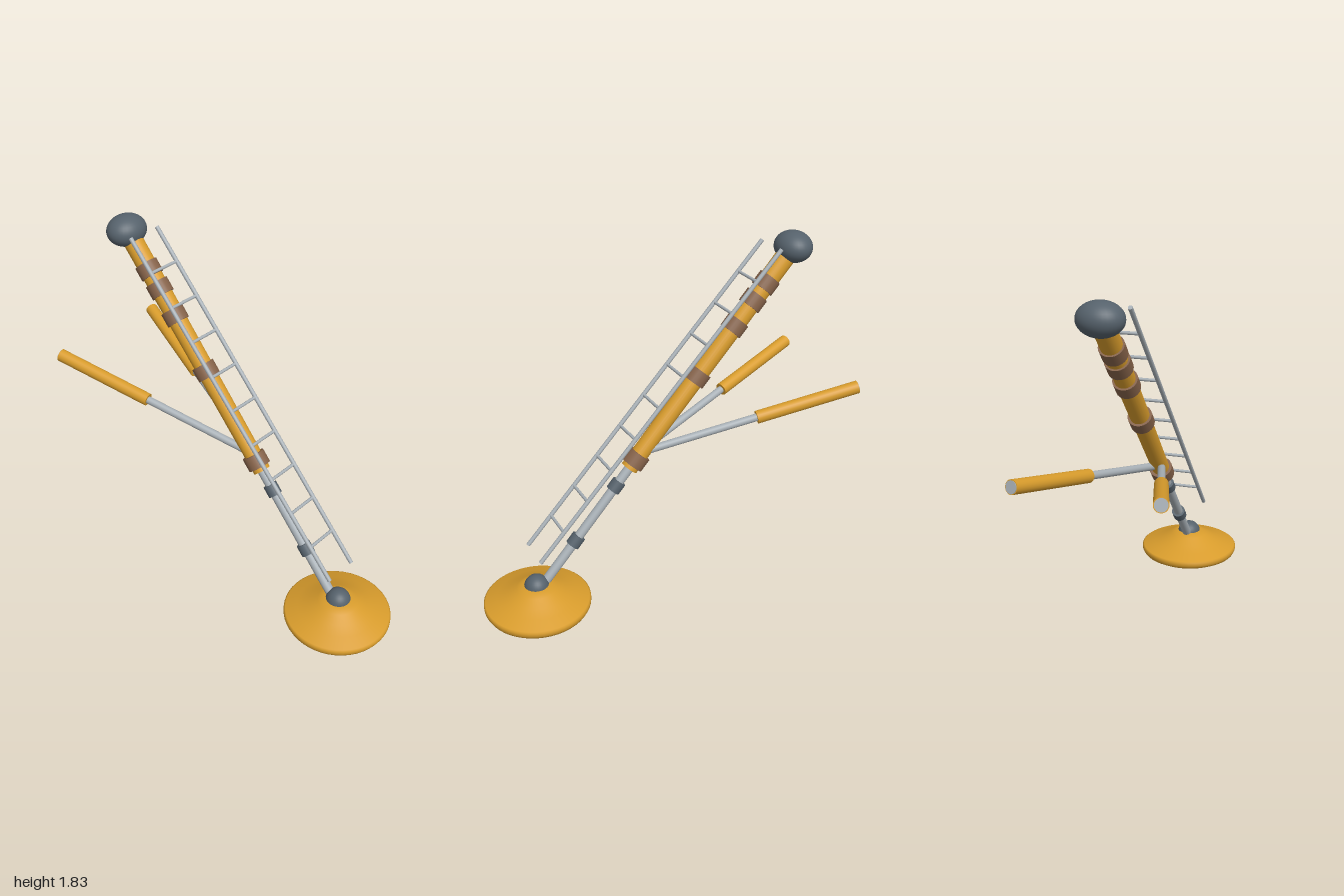
import * as THREE from 'three';

const mat = (name, color) => {
  const m = new THREE.MeshStandardMaterial({ color });
  m.name = name;
  return m;
};

export function createModel() {
  const root = new THREE.Group();
  root.name = 'landingLeg';
  const gold = mat('gold foil', 0xd89c2c);
  const silver = mat('silver metal', 0xa9b1b7);
  const slate = mat('slate joint', 0x56626c);
  const brown = mat('brown band', 0x86634a);
  const V = (x, y, z) => new THREE.Vector3(x, y, z);

  const add = (name, geometry, material, parent = root) => {
    const m = new THREE.Mesh(geometry, material);
    m.name = name;
    parent.add(m);
    return m;
  };

  // Cylinder running between two points
  const rod = (name, a, b, r, material, parent = root, rEnd = r, sides = 24) => {
    const d = b.clone().sub(a);
    const m = add(name, new THREE.CylinderGeometry(rEnd, r, d.length(), sides), material, parent);
    m.position.copy(a).add(b).multiplyScalar(0.5);
    m.quaternion.setFromUnitVectors(V(0, 1, 0), d.normalize());
    return m;
  };

  // Main leg axis, addressed by its z position
  const dir = V(0, 1.39, -1.25).normalize();
  const onAxis = (z) => V(0, 0.36 + (0.49 - z) * 1.112, z);
  const band = (name, z, r, len, material) => {
    const c = onAxis(z);
    const h = dir.clone().multiplyScalar(len / 2);
    rod(name, c.clone().sub(h), c.clone().add(h), r, material);
  };

  // Foot pad: shallow dish below, flared cone above
  const pad = add('footPad', new THREE.LatheGeometry([
    [0, 0], [0.2, 0], [0.24, 0.012], [0.272, 0.03], [0.28, 0.046], [0.28, 0.064],
    [0.272, 0.07], [0.21, 0.092], [0.15, 0.118], [0.105, 0.143], [0.07, 0.159], [0, 0.162],
  ].map(([x, y]) => new THREE.Vector2(x, y)), 48), gold);
  pad.position.z = 0.72;

  const ankle = add('ankleJoint', new THREE.SphereGeometry(0.066, 28, 18), slate);
  ankle.position.set(0, 0.145, 0.72);

  // Telescoping leg
  rod('innerPiston', onAxis(0.7), onAxis(0.12), 0.025, silver);
  rod('outerTube', onAxis(0.175), onAxis(-0.74), 0.045, gold, root, 0.052);
  [0.49, 0.252].forEach((z) => band('pistonCollar', z, 0.037, 0.06, slate));
  [0.136, -0.217, -0.43, -0.535, -0.607].forEach((z) => band('tubeBand', z, 0.06, 0.072, brown));

  const hip = add('hipJoint', new THREE.SphereGeometry(1, 32, 20), slate);
  hip.scale.set(0.109, 0.08, 0.093);
  hip.position.set(0, 1.748, -0.76);

  // Mirrored side struts: thin rod with a thick sleeve and a pale end disc
  for (const s of [1, -1]) {
    const strut = new THREE.Group();
    strut.name = s > 0 ? 'leftStrut' : 'rightStrut';
    root.add(strut);
    const a = V(0, 0.785, 0.13);
    const b = V(s * 0.332, 1.052, -0.99);
    const start = a.clone().lerp(b, 0.54);
    rod('strutRod', a, start.clone().lerp(b, 0.1), 0.02, silver, strut);
    rod('strutSleeve', start, b, 0.034, gold, strut);
    rod('strutEndDisc', b, b.clone().add(b.clone().sub(a).setLength(0.003)), 0.03, silver, strut);
  }

  // Ladder parallel to the leg
  const ladder = new THREE.Group();
  ladder.name = 'ladder';
  root.add(ladder);
  const railPoint = (x, t) => V(x, 0.352 + 1.425 * t, 0.72 - 1.35 * t);
  for (const x of [-0.087, 0.087]) {
    rod('ladderRail', railPoint(x, 0), railPoint(x, 1), 0.011, silver, ladder, 0.011, 12);
  }
  for (let i = 1; i <= 9; i++) {
    rod('ladderRung', railPoint(-0.087, i / 10), railPoint(0.087, i / 10), 0.008, silver, ladder, 0.008, 10);
  }

  return root;
}
